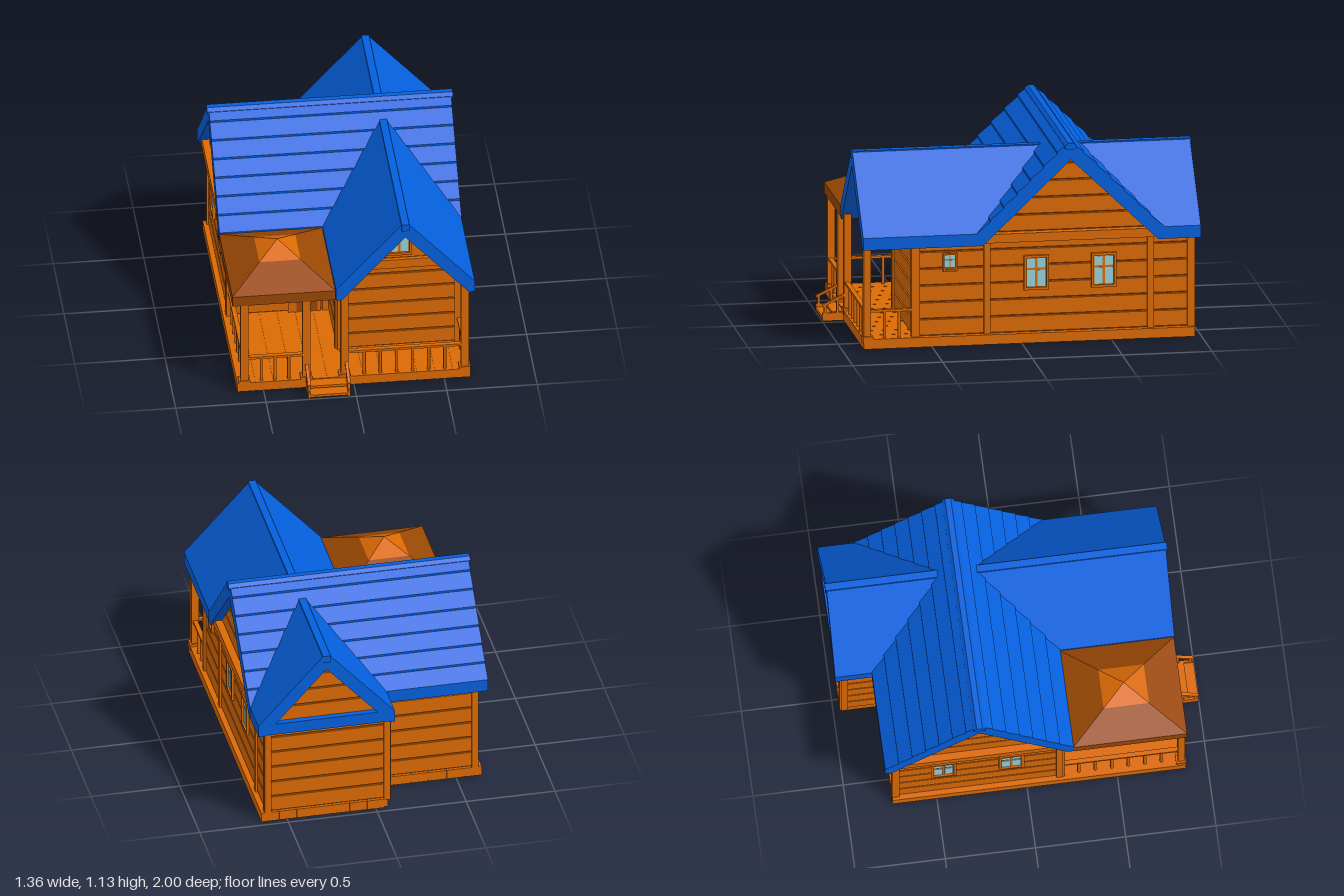
import * as THREE from 'three';

const mat = (name, color) => { const m = new THREE.MeshStandardMaterial({ color }); m.name = name; return m; };

export function createModel() {
  const wood = mat('orange wood', 0xdc6a04);
  const blue = mat('blue roofing', 0x0460de);
  const brown = mat('brown wood', 0x9a4804);
  const glass = mat('pale glass', 0x98d2da);
  const house = new THREE.Group();
  house.name = 'logHouse';

  const add = (parent, name, geo, material, x = 0, y = 0, z = 0) => {
    const m = new THREE.Mesh(geo, material);
    m.name = name;
    m.position.set(x, y, z);
    parent.add(m);
    return m;
  };
  // box given by its limits on each axis
  const box = (parent, name, material, x0, x1, y0, y1, z0, z1) =>
    add(parent, name, new THREE.BoxGeometry(x1 - x0, y1 - y0, z1 - z0), material,
      (x0 + x1) / 2, (y0 + y1) / 2, (z0 + z1) / 2);
  const poly = (pts) => new THREE.Shape(pts.map(p => new THREE.Vector2(p[0], p[1])));
  const extrude = (shape, depth) => new THREE.ExtrudeGeometry(shape, { depth, bevelEnabled: false });

  // ---- Deck: planks running front to back, shorter beside the rear wing
  const deck = new THREE.Group();
  deck.name = 'deck';
  house.add(deck);
  const n = 13, pw = 1.29 / n;
  for (let i = 0; i < n; i++) {
    const x = -0.645 + i * pw;
    box(deck, 'deckPlank', wood, x + (i ? 0.0015 : 0), x + pw - (i < n - 1 ? 0.0015 : 0), 0, 0.055, x + pw < 0 ? -0.745 : -0.965, 0.88);
  }
  box(deck, 'deckCore', wood, -0.64, 0.64, 0.003, 0.052, -0.74, 0.877);
  box(deck, 'deckCoreRear', wood, -0.07, 0.64, 0.003, 0.052, -0.96, -0.7);

  // ---- Walls: boards on a backing, drawn facing +z and then turned into place
  const EAVE = 0.58, BASE = 0.05;
  function wall(name, x, z, turn, a, b, trims, gable) {
    const g = new THREE.Group();
    g.name = name;
    g.position.set(x, 0, z);
    g.rotation.y = turn;
    house.add(g);
    const top = gable ? gable.apex : EAVE;
    box(g, 'wallBacking', wood, a, b, BASE, EAVE, -0.03, -0.008);
    if (gable) {
      const { c, half, apex } = gable;
      add(g, 'gableBacking', extrude(poly([[c - half, EAVE], [c + half, EAVE], [c, apex]]), 0.022), wood, 0, 0, -0.03);
    }
    const span = (y) => {
      if (y < EAVE) return [a, b];
      const w = gable.half * (gable.apex - y) / (gable.apex - EAVE);
      return [gable.c - w, gable.c + w];
    };
    // board with a sloping lower edge
    const board = (y0, y1) => {
      const [l0, r0] = span(y0), [l1, r1] = span(y1);
      const geo = extrude(poly([[l0, y0], [r0, y0], [r1, y1], [l1, y1]]), 0.01);
      const p = geo.attributes.position;
      for (let i = 0; i < p.count; i++) {
        if (p.getZ(i) > 0.005 && p.getY(i) < y0 + 1e-4) p.setY(i, y0 + 0.007);
      }
      geo.computeVertexNormals();
      add(g, 'sidingBoard', geo, wood, 0, 0, -0.009);
    };
    for (let y = 0.055; y < top - 0.02; y += 0.095) {
      const y1 = Math.min(y + 0.092, top - 0.001);
      if (y < EAVE && y1 > EAVE) {
        board(y, EAVE - 0.0001);
        if (gable) board(EAVE, y1);
      } else board(y, y1);
    }
    for (const t of trims) box(g, 'cornerBoard', wood, t - 0.018, t + 0.018, BASE, EAVE, -0.02, 0.012);
    return g;
  }
  const Q = Math.PI / 2, SIDE = 0.616;
  const right = wall('rightWall', SIDE, 0, Q, -0.6, 0.96, [-0.582, -0.19, 0.72, 0.942], { c: 0.268, half: 0.49, apex: 1.05 });
  const left = wall('leftWall', -SIDE, 0, -Q, -0.74, 0.2, [-0.722, 0.182], { c: -0.268, half: 0.49, apex: 1.05 });
  const front = wall('frontWingWall', 0, 0.6, 0, -0.06, SIDE, [-0.042, 0.607], { c: 0.285, half: 0.36, apex: 0.97 });
  wall('backWingWall', 0, -0.955, Math.PI, -SIDE, 0.08, [-0.607, 0.062], { c: -0.285, half: 0.36, apex: 0.97 });
  const porchWall = wall('porchBackWall', 0, 0.2, 0, -SIDE, -0.06, [-0.607, -0.078]);
  wall('porchSideWall', -0.06, 0, -Q, 0.2, 0.6, [0.582]);
  wall('backMainWall', 0, -0.735, Math.PI, 0.08, SIDE, [0.607, 0.098]);
  wall('backNotchWall', -0.075, 0, -Q, -0.955, -0.735, [-0.937]);

  // ledges under the gables
  box(right, 'gableLedge', wood, -0.2, 0.74, 0.575, 0.625, -0.01, 0.04);
  box(left, 'gableLedge', wood, -0.74, 0.2, 0.575, 0.625, -0.01, 0.04);
  box(front, 'gableLedge', wood, -0.04, 0.61, 0.57, 0.625, -0.01, 0.014);
  box(house, 'backEaveBand', blue, -0.09, 0.655, 0.568, 0.635, -0.99, -0.945);

  // ---- Windows: raised frame with four panes
  function windowUnit(parent, x, y, w, h) {
    const g = new THREE.Group();
    g.name = 'window';
    g.position.set(x, y, 0);
    parent.add(g);
    const f = w * 0.105, b = w * 0.045;
    const ring = poly([[-w / 2, -h / 2], [w / 2, -h / 2], [w / 2, h / 2], [-w / 2, h / 2]]);
    ring.holes.push(new THREE.Path([[-1, -1], [-1, 1], [1, 1], [1, -1]].map(
      ([sx, sy]) => new THREE.Vector2(sx * (w / 2 - f), sy * (h / 2 - f)))));
    add(g, 'windowFrame', extrude(ring, 0.02), wood, 0, 0, -0.004);
    box(g, 'windowSash', wood, -w / 2 + f, w / 2 - f, -h / 2 + f, h / 2 - f, -0.006, 0.004);
    const px = w / 2 - f - b * 0.6, py = h / 2 - f - b * 0.6, mid = py * 0.25;
    for (const sx of [-1, 1]) {
      // upper panes are shorter than lower ones
      for (const [y0, y1] of [[-py, mid - b], [mid + b, py]]) {
        box(g, 'windowPane', glass, sx < 0 ? -px : b, sx < 0 ? -b : px, y0, y1, 0.001, 0.007);
      }
    }
  }
  for (const z of [-0.084, -0.46]) {
    windowUnit(right, -z, 0.393, 0.14, 0.195);
    windowUnit(left, z, 0.393, 0.14, 0.195);
  }
  windowUnit(right, -0.397, 0.475, 0.08, 0.09);
  box(right, 'windowSill', wood, -0.437, -0.357, 0.418, 0.428, -0.005, 0.018);
  windowUnit(front, 0.283, 0.752, 0.14, 0.195);
  windowUnit(porchWall, -0.46, 0.312, 0.14, 0.185);

  // ---- Door
  box(porchWall, 'doorFrame', wood, -0.285, -0.105, 0.05, 0.37, -0.01, 0.012);
  box(porchWall, 'doorLeaf', brown, -0.24, -0.122, 0.062, 0.35, 0.01, 0.017);

  // ---- Roofs: chevron profile with overlapping rows and a flattened crest
  function chevron(c, half, ridge, crest, eave, rows, lip, inner, innerHalf, foot) {
    const slope = (ridge - eave) / half;
    const side = [[0, crest], [(ridge - crest) / slope, crest]];
    for (let i = 1; i <= rows; i++) {
      const u = half * i / rows, y = ridge - slope * u;
      side.push([u, y + lip], [u, y]);
    }
    side.push([half, foot], [innerHalf, foot]);
    const mirror = side.slice(1).reverse().map(([u, y]) => [-u, y]);
    return poly([...side, [0, inner], ...mirror].map(([u, y]) => [c + u, y]));
  }
  const MID = 0.268;
  const mainRoof = extrude(chevron(MID, 0.522, 1.142, 1.112, 0.625, 7, 0.012, 1.035, 0.488, 0.565), 1.34);
  mainRoof.rotateY(Q);
  add(house, 'mainRoof', mainRoof, blue, -0.67);
  const capProfile = [[0, 1.09], [0.034, 1.098], [0.034, 1.112], [0.016, 1.13], [-0.016, 1.13], [-0.034, 1.112], [-0.034, 1.098]];
  add(house, 'mainRidgeCap', extrude(poly(capProfile.map(([u, y]) => [MID + u, y])), 1.36).rotateY(Q), blue, -0.68);

  // cross roofs: the inner end is cut along the slope of the main roof
  for (const s of [1, -1]) {
    const end = s > 0 ? 0.887 : -0.993;
    const geo = extrude(chevron(0.284, 0.384, 1.058, 1.033, 0.634, 1, 0, 0.953, 0.352, 0.565), 1);
    const p = geo.attributes.position;
    for (let i = 0; i < p.count; i++) {
      const outer = (p.getZ(i) > 0.5) === (s > 0);
      const slope = (1.142 - p.getY(i)) / 0.99;
      p.setZ(i, outer ? end : -MID + s * (Math.min(slope, 0.52) - 0.015));
    }
    geo.computeVertexNormals();
    add(house, s > 0 ? 'frontCrossRoof' : 'backCrossRoof', geo, blue);
    const cap = s > 0 ? [-0.17, 0.895] : [-1, -0.37];
    box(house, 'crossRidgeCap', blue, 0.263, 0.305, 0.998, 1.04, cap[0], cap[1]);
  }

  // ---- Hipped porch roof
  const hip = new THREE.Group();
  hip.name = 'porchRoof';
  hip.position.set(-0.387, 0, 0.568);
  house.add(hip);
  box(hip, 'porchFascia', brown, -0.285, 0.285, 0.567, 0.628, -0.315, 0.315);
  const pyramid = (name, rTop, rBottom, y0, y1, material) => {
    const geo = new THREE.CylinderGeometry(rTop * Math.SQRT2, rBottom * Math.SQRT2, y1 - y0, 4, 1).toNonIndexed();
    geo.rotateY(Math.PI / 4);
    geo.scale(0.285, 1, 0.315);
    geo.computeVertexNormals();
    add(hip, name, geo, material, 0, (y0 + y1) / 2, 0);
  };
  pyramid('hipSlopes', 0.4, 1, 0.628, 0.722, brown);
  pyramid('hipPeak', 0, 0.4, 0.722, 0.785, wood);

  // ---- Porch posts
  for (const x of [-0.605, -0.262, -0.05, 0.615]) {
    box(house, 'porchPost', wood, x - 0.021, x + 0.021, 0.05, 0.6, 0.838, 0.878);
    box(house, 'postBase', wood, x - 0.032, Math.min(x + 0.032, 0.646), 0.03, 0.07, 0.827, 0.883);
  }

  // ---- Railings
  function railing(name, x0, z0, x1, z1, count) {
    const g = new THREE.Group();
    g.name = name;
    house.add(g);
    const len = Math.hypot(x1 - x0, z1 - z0);
    g.position.set((x0 + x1) / 2, 0, (z0 + z1) / 2);
    g.rotation.y = -Math.atan2(z1 - z0, x1 - x0);
    box(g, 'handrail', wood, -len / 2, len / 2, 0.203, 0.217, -0.013, 0.013);
    for (let i = 1; i <= count; i++) {
      const x = len * (i / (count + 1) - 0.5);
      add(g, 'baluster', new THREE.CylinderGeometry(0.009, 0.009, 0.155, 8), wood, x, 0.1275, 0);
    }
  }
  railing('frontRailingShort', -0.584, 0.86, -0.283, 0.86, 3);
  railing('frontRailingLong', -0.03, 0.86, 0.594, 0.86, 6);
  railing('rightRailing', 0.615, 0.6, 0.615, 0.84, 2);
  railing('leftRailing', -0.605, 0.2, -0.605, 0.84, 6);

  // ---- Entrance steps with sloping handrails
  const steps = new THREE.Group();
  steps.name = 'entranceSteps';
  house.add(steps);
  box(steps, 'lowerTread', wood, -0.255, -0.045, 0.012, 0.027, 0.93, 1);
  box(steps, 'upperTread', wood, -0.255, -0.045, 0.035, 0.05, 0.88, 0.945);
  for (const x of [-0.26, -0.04]) {
    box(steps, 'stringer', wood, x - 0.006, x + 0.006, 0, 0.045, 0.88, 0.998);
    box(steps, 'stepPost', wood, x - 0.007, x + 0.007, 0.01, 0.09, 0.975, 0.989);
    box(steps, 'stepPost', wood, x - 0.007, x + 0.007, 0.03, 0.125, 0.905, 0.919);
    const rail = add(steps, 'stepHandrail', new THREE.BoxGeometry(0.018, 0.013, 0.138), wood, x, 0.115, 0.935);
    rail.rotation.x = 0.46;
  }
  return house;
}
